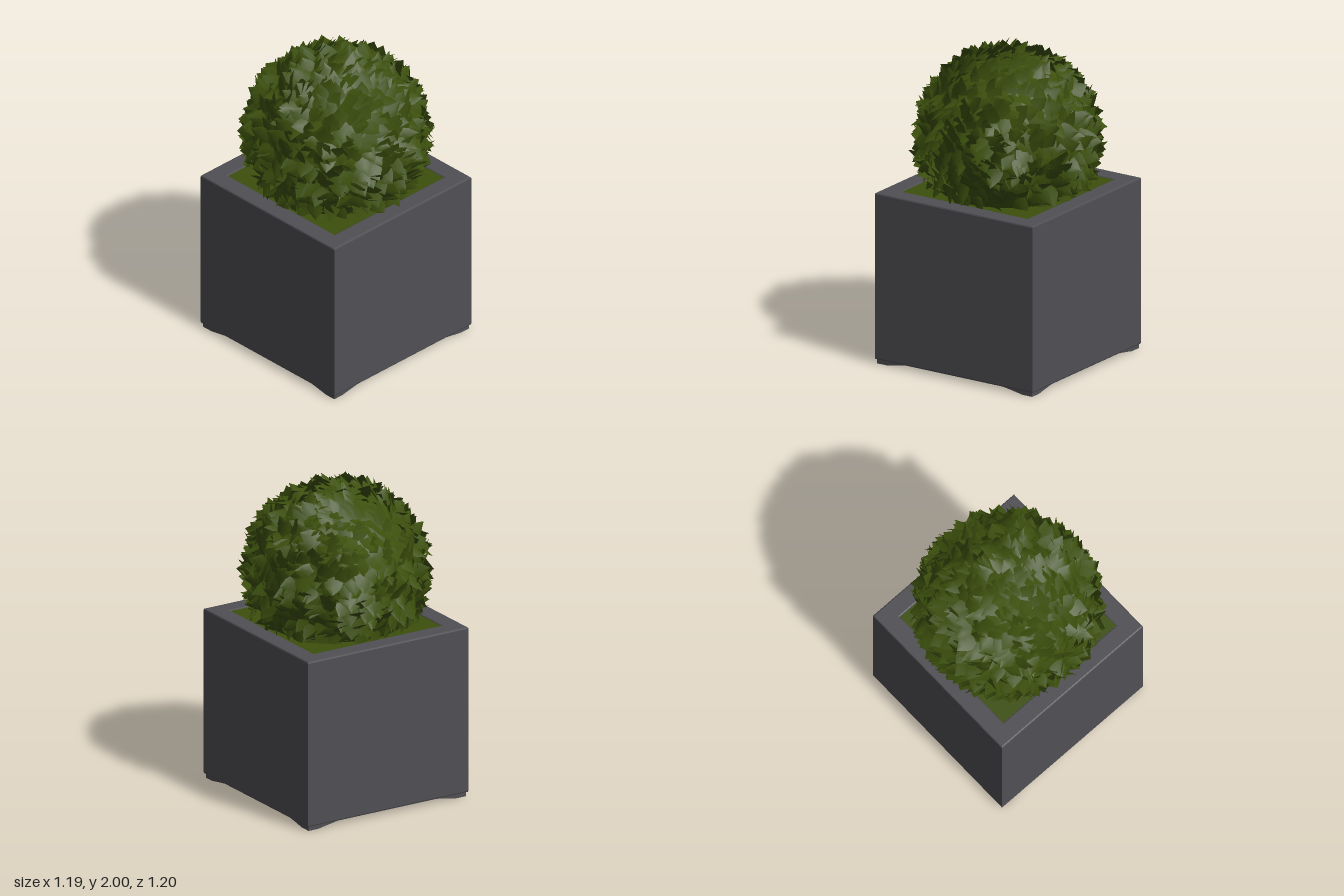
import * as THREE from 'three';
import { mergeGeometries } from 'three/addons/utils/BufferGeometryUtils.js';

const CENTRE_Y = 1.405;

function seeded(seed) {
  return () => {
    seed = (seed * 1664525 + 1013904223) % 4294967296;
    return seed / 4294967296;
  };
}

function square(target, h) {
  target.moveTo(-h, -h);
  target.lineTo(h, -h);
  target.lineTo(h, h);
  target.lineTo(-h, h);
  target.closePath();
  return target;
}

// One pointed leaf: +z runs along it, +y lifts it away from the bush
function leafGeometry(width, length, lift, fold, bend) {
  const rows = [[0, 0.6], [0.35, 1], [0.7, 0.72], [1, 0]];
  const pos = [], index = [];
  rows.forEach(([t, w], i) => {
    for (let j = -1; j <= 1; j++) {
      pos.push(j * w * width / 2 + bend * t * t, lift * Math.pow(t, 1.25) - (j ? fold * w : 0), (t - 0.4) * length);
    }
    if (i === 0) return;
    for (let j = 0; j < 2; j++) {
      const a = (i - 1) * 3 + j, c = a + 3;
      index.push(a, c, a + 1);
      if (i < rows.length - 1) index.push(a + 1, c, c + 1);
      else if (j === 1) index.push(a, c, a + 1);
    }
  });
  const g = new THREE.BufferGeometry();
  g.setAttribute('position', new THREE.Float32BufferAttribute(pos, 3));
  g.setIndex(index);
  g.computeVertexNormals();
  return g;
}

// Leaves spread evenly over the ball, each turned a random way
function foliageGeometry() {
  const rand = seeded(17);
  const count = 900, leaves = [];
  for (let i = 0; i < count; i++) {
    const y = 1 - 2 * (i + 0.5) / count;
    if (y < -0.56) break;
    const r = Math.sqrt(1 - y * y), a = i * 2.39996;
    const normal = new THREE.Vector3(r * Math.cos(a), y, r * Math.sin(a));
    const turn = rand() * Math.PI * 2;
    const x = new THREE.Vector3(Math.cos(turn), Math.sin(turn), 0.37).cross(normal).normalize();
    const z = new THREE.Vector3().crossVectors(x, normal);
    const leaf = leafGeometry(0.1 + rand() * 0.04, 0.1 + rand() * 0.05, 0.055 + rand() * 0.035,
      0.012 + rand() * 0.014, (rand() - 0.5) * 0.04);
    const m = new THREE.Matrix4().makeBasis(x, normal, z);
    m.setPosition(normal.clone().multiplyScalar(0.515));
    leaves.push(leaf.applyMatrix4(m));
  }
  return mergeGeometries(leaves);
}

export function createModel() {
  const model = new THREE.Group();
  const stone = new THREE.MeshStandardMaterial({ color: 0x504f54 });
  stone.name = 'charcoal grey';
  const green = new THREE.MeshStandardMaterial({ color: 0x3c500d, side: THREE.DoubleSide });
  green.name = 'leaf green';

  const add = (name, geometry, material, y) => {
    const mesh = new THREE.Mesh(geometry, material);
    mesh.name = name;
    mesh.position.y = y;
    model.add(mesh);
    return mesh;
  };

  // Planter walls and rim, with slightly softened edges
  const outline = square(new THREE.Shape(), 0.57);
  outline.holes.push(square(new THREE.Path(), 0.472));
  const walls = new THREE.ExtrudeGeometry(outline, {
    depth: 1.044, bevelEnabled: true, bevelThickness: 0.01, bevelSize: 0.01, bevelSegments: 2,
  });
  walls.rotateX(-Math.PI / 2);
  add('planter', walls, stone, 0.046);

  // Planter underside, dipping to a low foot at each corner
  const base = new THREE.BoxGeometry(1.14, 0.03, 1.14, 16, 1, 16);
  const p = base.attributes.position;
  for (let i = 0; i < p.count; i++) {
    if (p.getY(i) > 0) continue;
    const dip = THREE.MathUtils.smoothstep(Math.abs(p.getX(i)), 0.36, 0.5)
      * THREE.MathUtils.smoothstep(Math.abs(p.getZ(i)), 0.36, 0.5);
    p.setY(i, p.getY(i) - 0.025 * dip);
  }
  base.computeVertexNormals();
  add('planterBase', base, stone, 0.05);

  // Green ground cover filling the opening
  add('groundCover', new THREE.BoxGeometry(0.94, 0.02, 0.94), green, 1.083);

  // Round bush: solid core under a coat of leaves
  add('bushCore', new THREE.SphereGeometry(0.525, 48, 28, 0, Math.PI * 2, 0, Math.PI * 0.72), green, CENTRE_Y);
  add('bushLeaves', foliageGeometry(), green, CENTRE_Y);

  return model;
}
